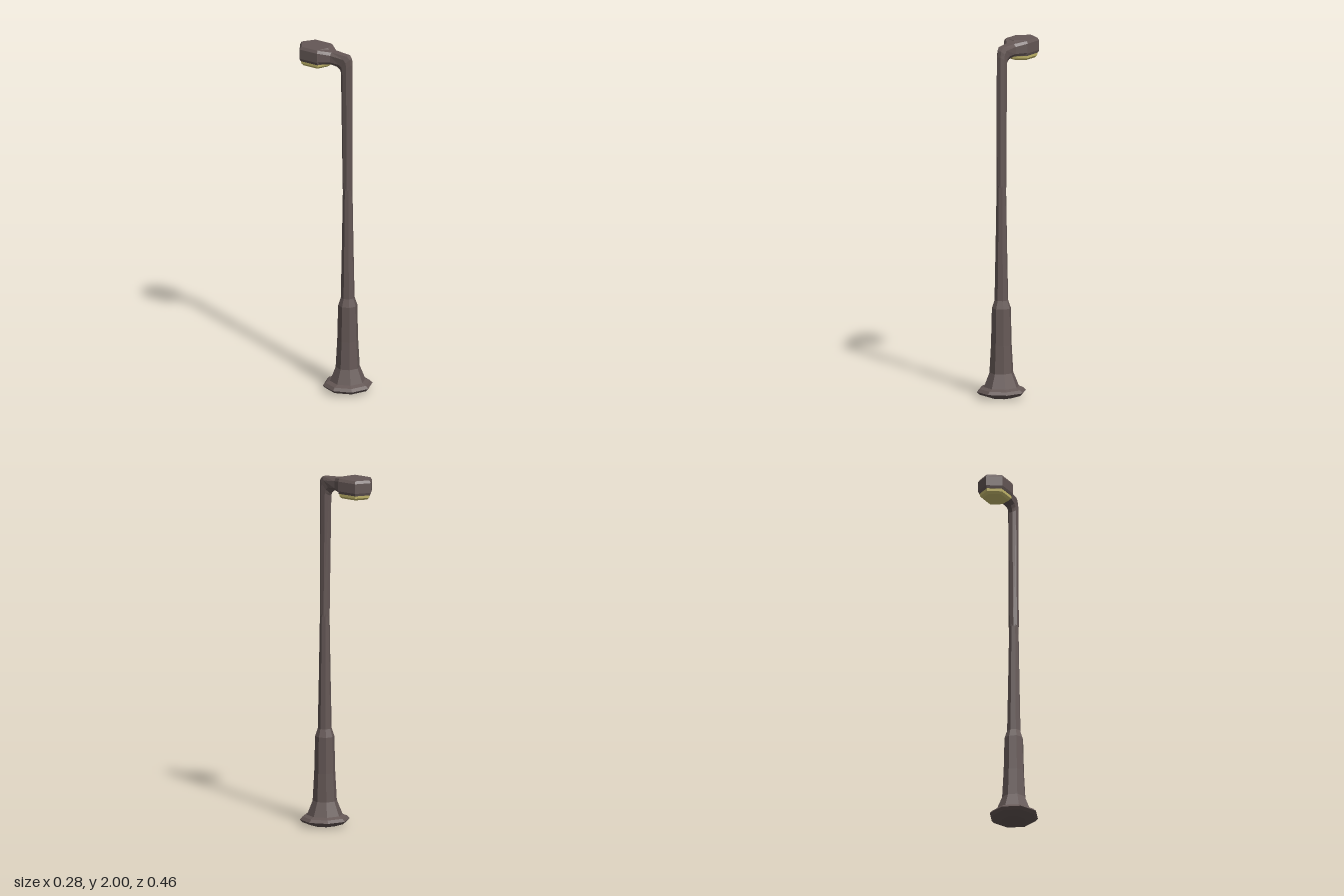
import * as THREE from 'three';

const metal = new THREE.MeshStandardMaterial({ color: 0x655856 });
metal.name = 'brown metal';
const glass = new THREE.MeshStandardMaterial({ color: 0xcfc272 });
glass.name = 'yellow lamp glass';

// Faceted skin over rings that run anticlockwise seen from the far end, capped at both ends.
function loft(name, rings, material) {
  const pos = [];
  const tri = (a, b, c) => pos.push(...a, ...b, ...c);
  const n = rings[0].length;
  for (let i = 0; i < rings.length - 1; i++) {
    for (let j = 0; j < n; j++) {
      const k = (j + 1) % n;
      tri(rings[i][j], rings[i][k], rings[i + 1][k]);
      tri(rings[i][j], rings[i + 1][k], rings[i + 1][j]);
    }
  }
  const first = rings[0], last = rings[rings.length - 1];
  for (let j = 1; j < n - 1; j++) {
    tri(first[0], first[j + 1], first[j]);
    tri(last[0], last[j], last[j + 1]);
  }
  const geo = new THREE.BufferGeometry();
  geo.setAttribute('position', new THREE.Float32BufferAttribute(pos, 3));
  geo.computeVertexNormals();
  const mesh = new THREE.Mesh(geo, material);
  mesh.name = name;
  return mesh;
}

// Level octagon of the post, corners on the axes.
function postRing([r, y]) {
  return Array.from({ length: 8 }, (_, i) => {
    const a = (i * Math.PI) / 4;
    return [r * Math.cos(a), y, 0.09 - r * Math.sin(a)];
  });
}

// Flat-topped octagon spanning an outer and an inner point in the y-z plane.
function armRing([y0, z0, y1, z1, w, t, c]) {
  return [[-t, 0], [t, 0], [w, c], [w, 1 - c], [t, 1], [-t, 1], [-w, 1 - c], [-w, c]]
    .map(([x, s]) => [x, y0 + (y1 - y0) * s, z0 + (z1 - z0) * s]);
}

// Level stretched hexagon of the lamp head.
function headRing([y, w, tip, back, front, nose]) {
  return [[w, front], [w, back], [0, tip], [-w, back], [-w, front], [0, nose]]
    .map(([x, z]) => [x, y, z]);
}

export function createModel() {
  const group = new THREE.Group();
  group.name = 'streetLamp';

  // Footed post, [radius, height]
  group.add(loft('post', [
    [0.07, 0], [0.125, 0.018], [0.14, 0.034], [0.125, 0.05], [0.1, 0.06], [0.068, 0.14],
    [0.059, 0.3], [0.054, 0.505], [0.039, 0.55], [0.033, 0.85], [0.027, 1.2],
  ].map(postRing), metal));

  // Upper post bending back and flaring into the head
  group.add(loft('arm', [
    [1.19, 0.115, 1.19, 0.064, 0.026, 0.011, 0.29],
    [1.93, 0.116, 1.88, 0.052, 0.025, 0.011, 0.29],
    [1.965, 0.112, 1.895, 0.045, 0.025, 0.012, 0.28],
    [1.983, 0.095, 1.908, 0.03, 0.027, 0.015, 0.26],
    [1.988, -0.005, 1.917, -0.005, 0.036, 0.023, 0.22],
    [1.999, -0.064, 1.92, -0.064, 0.078, 0.068, 0.17],
  ].map(armRing), metal));

  // Lamp head
  group.add(loft('head', [
    [1.915, 0.073, -0.227, -0.18, -0.064, -0.02],
    [1.93, 0.078, -0.233, -0.183, -0.063, -0.02],
    [1.985, 0.078, -0.233, -0.183, -0.063, -0.025],
    [2.0, 0.069, -0.223, -0.177, -0.07, -0.045],
  ].map(headRing), metal));

  // Lamp glass under the head
  group.add(loft('lampGlass', [
    [1.888, 0.058, -0.205, -0.168, -0.075, -0.05],
    [1.9, 0.069, -0.221, -0.176, -0.067, -0.03],
    [1.918, 0.071, -0.225, -0.179, -0.065, -0.022],
  ].map(headRing), glass));

  return group;
}
